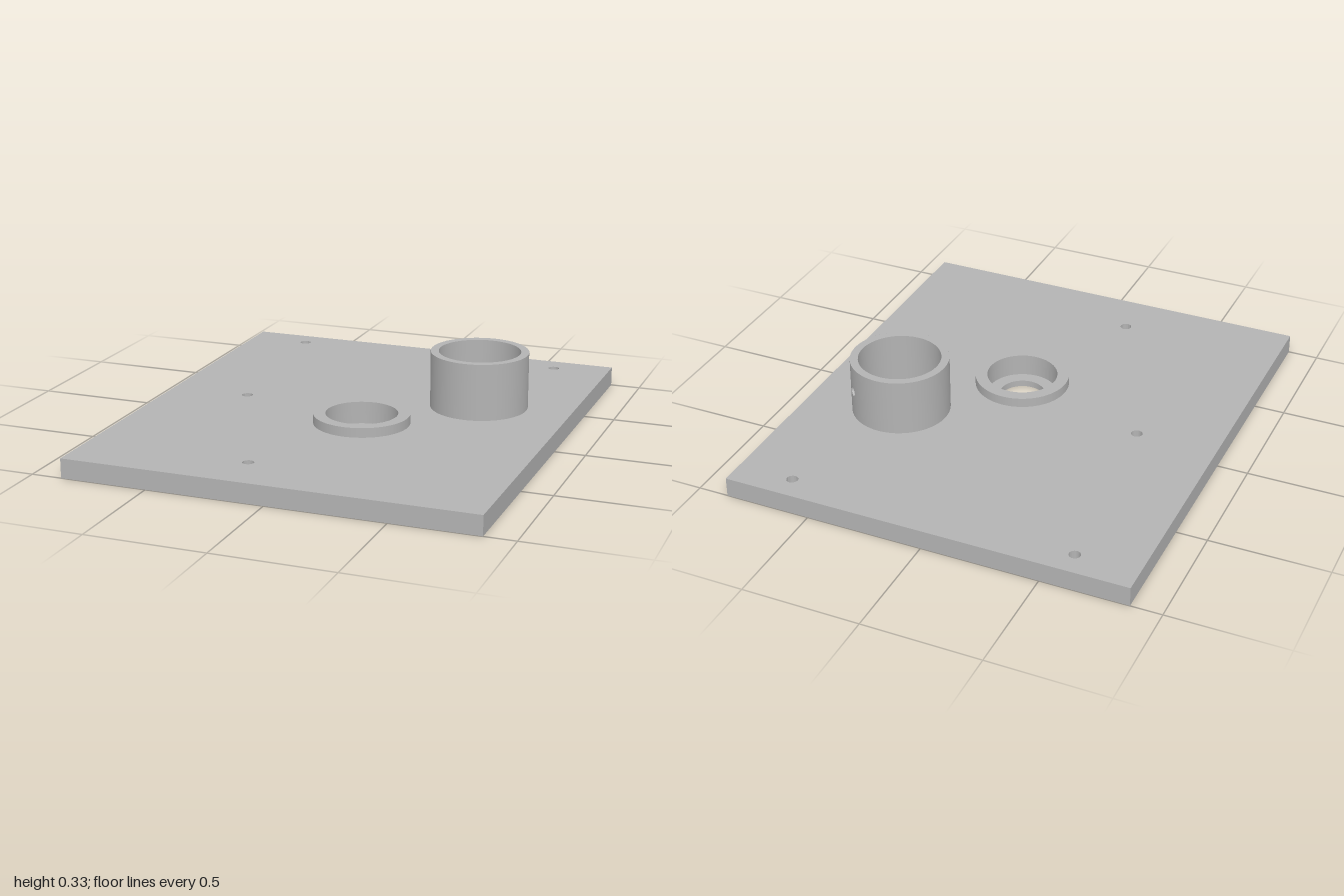
import * as THREE from 'three';
import { mergeGeometries, toCreasedNormals } from 'three/addons/utils/BufferGeometryUtils.js';
import { ParametricGeometry } from 'three/addons/geometries/ParametricGeometry.js';

const W = 1.74, D = 2, T = 0.083; // plate size
const FLOOR = 0.028;              // height of the seat inside each collar
const SEG = 72;

const lowCollar = { x: 0.08, z: 0.153, outer: 0.203, inner: 0.152, bore: 0.097, top: 0.124 };
const tallCollar = { x: 0.47, z: -0.235, outer: 0.209, inner: 0.175, bore: 0.083, top: 0.327 };
const screwHoles = [[-0.603, -0.895], [0.624, -0.895], [-0.521, -0.026], [-0.159, 0.779]];

// Radial set-screw hole through the wall of the tall collar
const PIN = { phi: Math.PI * 0.75, r: 0.021, halfWidth: 0.05, y: (T + tallCollar.top) / 2 };

// One crisp surface of revolution between two profile points, with an optional angular gap
function band(a, b, phi = 0, gap = 0) {
  const points = [new THREE.Vector2(...a), new THREE.Vector2(...b)];
  return new THREE.LatheGeometry(points, SEG, phi + gap, Math.PI * 2 - 2 * gap);
}

// Point on a cylinder of radius R, offset t sideways from the pin hole axis
function onWall(R, t, y, target) {
  const phi = PIN.phi + Math.asin(t / R);
  target.set(R * Math.sin(phi), y, R * Math.cos(phi));
}

// Piece of wall running from the pin hole out to a full-height rectangle
function wallPatch(R, dir) {
  const halfHeight = (tallCollar.top - T) / 2;
  return new ParametricGeometry((u, v, target) => {
    const a = dir * u * Math.PI * 2, c = Math.cos(a), s = Math.sin(a);
    const m = Math.max(Math.abs(c), Math.abs(s));
    const t = THREE.MathUtils.lerp(PIN.r * c, PIN.halfWidth * c / m, v);
    const y = THREE.MathUtils.lerp(PIN.r * s, halfHeight * s / m, v);
    onWall(R, t, PIN.y + y, target);
  }, 32, 4);
}

// Lining of the pin hole
function pinBore() {
  return new ParametricGeometry((u, v, target) => {
    const a = -u * Math.PI * 2;
    const R = THREE.MathUtils.lerp(tallCollar.inner, tallCollar.outer, v);
    onWall(R, PIN.r * Math.cos(a), PIN.y + PIN.r * Math.sin(a), target);
  }, 32, 1);
}

function plateGeometry() {
  const shape = new THREE.Shape();
  shape.moveTo(-W / 2, -D / 2).lineTo(W / 2, -D / 2).lineTo(W / 2, D / 2).lineTo(-W / 2, D / 2).closePath();
  const cut = (x, z, r) => shape.holes.push(new THREE.Path().absarc(x, -z, r, 0, Math.PI * 2, true));
  for (const [x, z] of screwHoles) cut(x, z, 0.024);
  for (const c of [lowCollar, tallCollar]) cut(c.x, c.z, c.inner);
  const g = new THREE.ExtrudeGeometry(shape, { depth: T, bevelEnabled: false, curveSegments: SEG });
  return toCreasedNormals(g.rotateX(-Math.PI / 2), 0.6);
}

export function createModel() {
  const grey = new THREE.MeshStandardMaterial({ color: 0xb3b3b3, side: THREE.DoubleSide });
  grey.name = 'plain grey';
  const model = new THREE.Group();
  model.name = 'mountingPlate';

  const add = (name, geometry, parent = model) => {
    const mesh = new THREE.Mesh(geometry, grey);
    mesh.name = name;
    parent.add(mesh);
  };

  add('basePlate', plateGeometry());

  for (const [name, c] of [['lowCollar', lowCollar], ['tallCollar', tallCollar]]) {
    const group = new THREE.Group();
    group.name = name;
    group.position.set(c.x, 0, c.z);
    model.add(group);

    // Stepped seat with its through bore
    add(name + 'Seat', mergeGeometries([
      band([c.inner, FLOOR], [c.bore, FLOOR]),
      band([c.bore, FLOOR], [c.bore, 0]),
      band([c.bore, 0], [c.inner, 0]),
    ]), group);

    // Raised wall; the tall one is left open where the pin hole patch goes
    const pinned = c === tallCollar;
    const gap = R => (pinned ? Math.asin(PIN.halfWidth / R) : 0);
    add(name + 'Wall', mergeGeometries([
      band([c.outer, T], [c.outer, c.top], PIN.phi, gap(c.outer)),
      band([c.outer, c.top], [c.inner, c.top]),
      band([c.inner, c.top], [c.inner, T], PIN.phi, gap(c.inner)),
    ]), group);

    if (pinned) {
      add('pinHoleWall', mergeGeometries([
        wallPatch(c.outer, -1), wallPatch(c.inner, 1), pinBore(),
      ]), group);
    }
  }
  return model;
}
